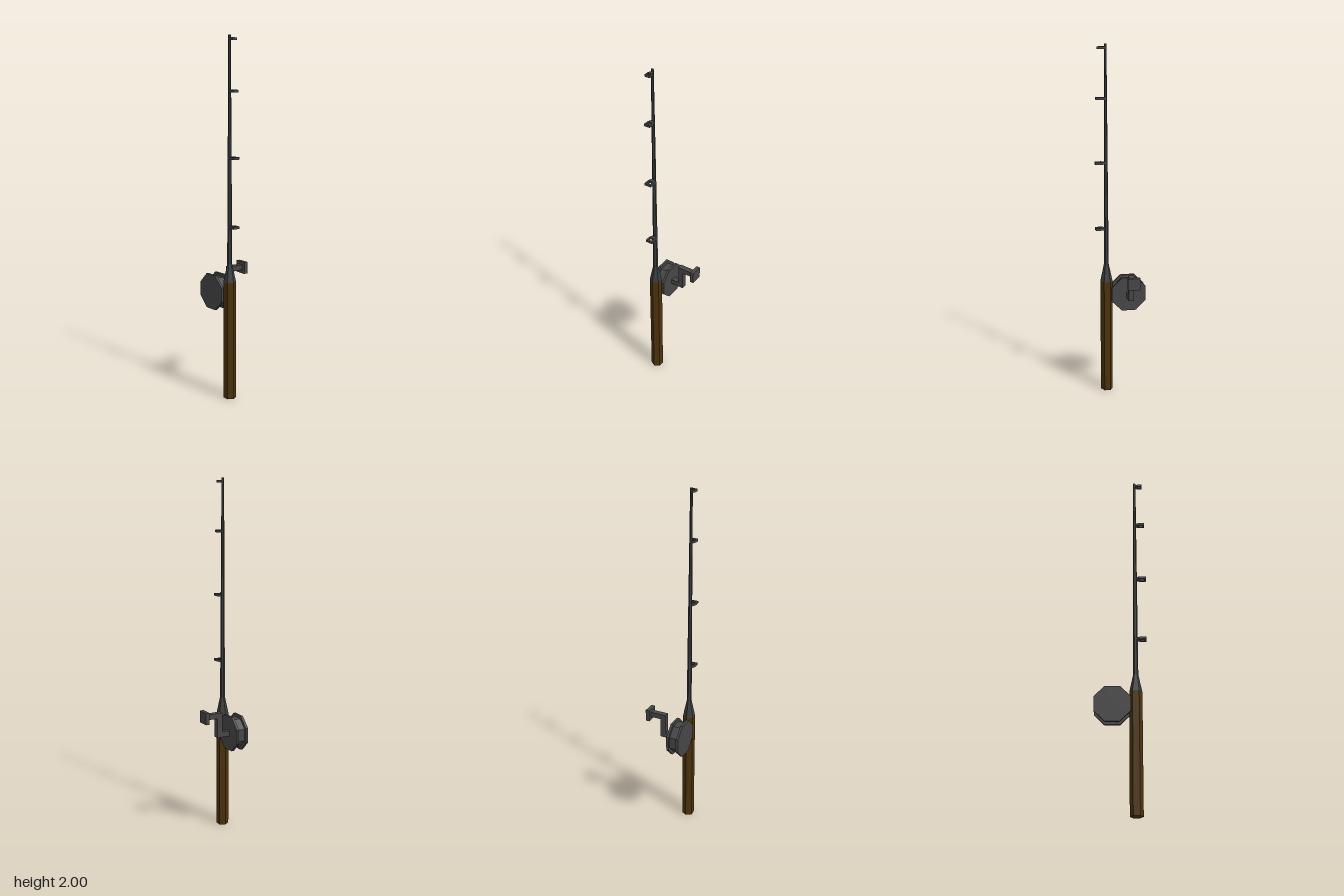
import * as THREE from 'three';

export function createModel() {
  const model = new THREE.Group();
  const mat = (name, color) => {
    const m = new THREE.MeshStandardMaterial({ color, flatShading: true });
    m.name = name;
    return m;
  };
  const wood = mat('brown wood', 0x4c330c);
  const rodMetal = mat('dark rod', 0x3b3d3f);
  const reelMetal = mat('grey metal', 0x474747);

  const add = (parent, name, geometry, material, x, y, z) => {
    const mesh = new THREE.Mesh(geometry, material);
    mesh.name = name;
    mesh.position.set(x, y, z);
    parent.add(mesh);
    return mesh;
  };
  const RX = -0.081, RZ = 0.08;

  // Tapered six-sided segments of the pole, from bottom to top
  const segment = (name, r0, r1, y0, y1, material) =>
    add(model, name, new THREE.CylinderGeometry(r1, r0, y1 - y0, 6), material, RX, (y0 + y1) / 2, RZ);
  segment('handle', 0.035, 0.035, 0, 0.67, wood);
  segment('collar', 0.035, 0.014, 0.67, 0.77, rodMetal);
  segment('rod', 0.014, 0.007, 0.77, 2, rodMetal);

  // Line guides: flat frames with an opening, narrowing toward the rod
  const guides = new THREE.Group();
  guides.name = 'lineGuides';
  model.add(guides);
  [[0.98, 0.061, 0.02], [1.355, 0.061, 0.02], [1.71, 0.055, 0.017], [1.98, 0.044, 0.015]].forEach(([y, d, w]) => {
    const shape = new THREE.Shape([
      [-0.007, 0], [0.007, 0], [w, d * 0.4], [w, d], [-w, d], [-w, d * 0.4],
    ].map(([a, b]) => new THREE.Vector2(a, b)));
    const h = w * 0.55;
    shape.holes.push(new THREE.Path([
      [-h, d * 0.45], [-h, d * 0.82], [h, d * 0.82], [h, d * 0.45],
    ].map(([a, b]) => new THREE.Vector2(a, b))));
    const geometry = new THREE.ExtrudeGeometry(shape, { depth: 0.013, bevelEnabled: false });
    geometry.rotateX(Math.PI / 2);
    add(guides, 'lineGuide', geometry, reelMetal, RX, y + 0.0065, RZ);
  });

  // Octagonal reel lying along x, with flat sides up, down, front and back
  const reel = new THREE.Group();
  reel.name = 'reel';
  model.add(reel);
  const disc = (name, apothem, x0, x1) => {
    const r = apothem / Math.cos(Math.PI / 8);
    const geometry = new THREE.CylinderGeometry(r, r, x1 - x0, 8);
    geometry.rotateY(Math.PI / 8).rotateZ(Math.PI / 2);
    add(reel, name, geometry, reelMetal, (x0 + x1) / 2, 0.593, -0.045);
  };
  disc('reelFlange', 0.098, -0.118, -0.104);
  disc('reelSpool', 0.082, -0.104, -0.059);
  disc('reelFlange', 0.098, -0.059, -0.045);

  // Crank: axle, arm, grip shaft and knob
  const crank = new THREE.Group();
  crank.name = 'crank';
  model.add(crank);
  const bar = (name, x0, x1, y0, y1, depth) =>
    add(crank, name, new THREE.BoxGeometry(x1 - x0, y1 - y0, depth), reelMetal,
      (x0 + x1) / 2, (y0 + y1) / 2, -0.045);
  bar('crankAxle', -0.047, 0.001, 0.578, 0.608, 0.031);
  bar('crankArm', 0.001, 0.032, 0.578, 0.72, 0.031);
  bar('gripShaft', 0.032, 0.093, 0.69, 0.72, 0.031);
  bar('crankKnob', 0.093, 0.116, 0.67, 0.737, 0.07);

  return model;
}
